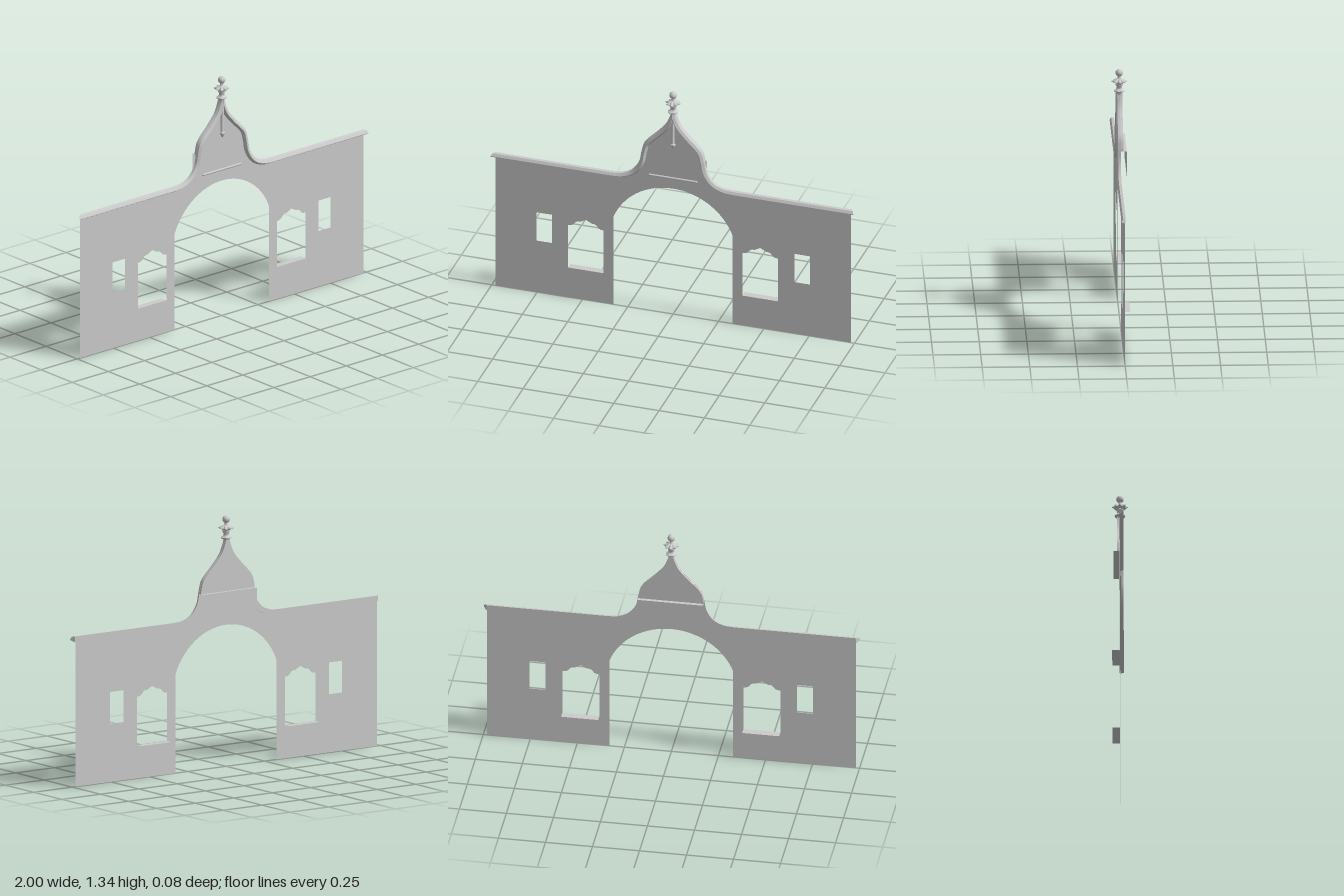
import * as THREE from 'three';
import { toCreasedNormals } from 'three/addons/utils/BufferGeometryUtils.js';

const V2 = (x, y) => new THREE.Vector2(x, y);
const solid = new THREE.MeshStandardMaterial({ color: 0xcccccc });
const thin = new THREE.MeshStandardMaterial({ color: 0xcccccc, side: THREE.DoubleSide });

function add(parent, name, geometry, material = solid, x = 0, y = 0, z = 0) {
  const mesh = new THREE.Mesh(geometry, material);
  mesh.name = name;
  mesh.position.set(x, y, z);
  parent.add(mesh);
  return mesh;
}

// Right half of the roofline: straight parapet, then the ogee up to the apex
function roofline() {
  const ogee = new THREE.SplineCurve([
    V2(0.34, 0.802), V2(0.283, 0.807), V2(0.228, 0.832), V2(0.189, 0.886), V2(0.174, 0.955),
    V2(0.154, 1.014), V2(0.088, 1.083), V2(0.042, 1.137), V2(0.018, 1.19), V2(0.01, 1.225),
  ]);
  return [V2(0.985, 0.802), ...ogee.getPoints(48)];
}

// Moves the roofline along its outward normal, never past the centre line
function offset(path, d) {
  return path.map((p, i) => {
    const t = path[Math.min(i + 1, path.length - 1)].clone().sub(path[Math.max(i - 1, 0)]).normalize();
    if (i < 2) t.set(-1, 0);
    return V2(Math.max(0, p.x + t.y * d), p.y - t.x * d);
  });
}

const mirrored = (pts) => pts.map((p) => V2(-p.x, p.y)).reverse();

// Moulding swept along one half of the roofline; section is [offset, z]
function mouldingGeometry(path, side) {
  const section = [[0, -0.003], [-0.003, 0.011], [-0.017, 0.019], [-0.021, 0.019], [-0.03, 0.002], [-0.03, -0.003]];
  const rails = section.map(([d]) => offset(path, d));
  const n = section.length;
  const pos = [], idx = [];
  path.forEach((_, i) => section.forEach(([, z], j) => {
    const p = rails[j][i];
    pos.push(side * (p.x + (i === 0 ? z * 0.8 : 0)), p.y, z);
  }));
  const tri = (a, b, c) => (side > 0 ? idx.push(a, b, c) : idx.push(a, c, b));
  for (let i = 0; i < path.length - 1; i++) {
    for (let j = 0; j < n; j++) {
      const a = i * n + j, b = i * n + ((j + 1) % n);
      tri(a, a + n, b);
      tri(b, a + n, b + n);
    }
  }
  for (let j = 1; j < n - 1; j++) tri(0, j, j + 1); // end cap
  const g = new THREE.BufferGeometry();
  g.setAttribute('position', new THREE.Float32BufferAttribute(pos, 3));
  g.setIndex(idx);
  return toCreasedNormals(g, 0.5);
}

function wallGeometry(path) {
  const edge = offset(path, -0.014);
  edge[0].x = 0.98;
  const arch = [];
  for (let i = 0; i <= 32; i++) {
    const a = THREE.MathUtils.lerp(-1.203, 1.203, i / 32);
    arch.push(V2(0.3516 * Math.sin(a), 0.4034 + 0.3516 * Math.cos(a)));
  }
  const shape = new THREE.Shape([
    V2(-0.98, 0), V2(-0.328, 0), ...arch, V2(0.328, 0), V2(0.98, 0),
    ...edge, ...mirrored(edge).slice(1),
  ]);
  for (const s of [-1, 1]) {
    // scalloped window
    const half = [V2(0.098, 0.178), V2(0.098, 0.435), V2(0.082, 0.437), V2(0.07, 0.443), V2(0.058, 0.458),
      V2(0.047, 0.464), V2(0.032, 0.465), V2(0.015, 0.474), V2(0, 0.482)];
    const outline = [...half, ...mirrored(half).slice(1)];
    shape.holes.push(new THREE.Path(outline.map((p) => V2(p.x + s * 0.481, p.y))));
    // small plain window
    const x = s * 0.711;
    shape.holes.push(new THREE.Path([V2(x - 0.043, 0.31), V2(x + 0.043, 0.31), V2(x + 0.043, 0.48), V2(x - 0.043, 0.48)]));
  }
  return new THREE.ShapeGeometry(shape);
}

const lathe = (pts, seg = 24) =>
  toCreasedNormals(new THREE.LatheGeometry(pts.map(([r, y]) => V2(r, y)), seg), 0.7);

// Turned finial with an eight-petalled crown and a ball
function finial() {
  const group = new THREE.Group();
  group.name = 'finial';
  add(group, 'finialStem', lathe([
    [0, 1.195], [0.013, 1.2], [0.016, 1.212], [0.027, 1.217], [0.028, 1.222], [0.018, 1.228],
    [0.014, 1.234], [0.015, 1.245], [0.019, 1.252], [0.019, 1.258], [0.013, 1.264], [0.012, 1.28],
    [0.009, 1.29], [0.008, 1.302], [0, 1.304],
  ]));
  const crown = new THREE.LatheGeometry([
    [0.01, 1.255], [0.022, 1.26], [0.03, 1.267], [0.041, 1.268], [0.041, 1.273], [0.028, 1.279], [0.015, 1.285], [0.008, 1.289],
  ].map(([r, y]) => V2(r, y)), 48);
  const p = crown.attributes.position;
  for (let i = 0; i < p.count; i++) {
    const x = p.getX(i), z = p.getZ(i), r = Math.hypot(x, z);
    const lobe = Math.cos(8 * Math.atan2(z, x));
    const k = 1 - 0.16 * (1 - lobe) * Math.min(1, r / 0.04);
    p.setXYZ(i, x * k, p.getY(i) + 0.002 * lobe * (r / 0.04), z * k);
  }
  add(group, 'petalCrown', toCreasedNormals(crown, 0.7), thin);
  add(group, 'finialBall', new THREE.SphereGeometry(0.02, 24, 16), solid, 0, 1.318, 0);
  return group;
}

export function createModel() {
  const model = new THREE.Group();
  model.name = 'archedGateway';
  const path = roofline();

  add(model, 'wall', wallGeometry(path), thin);
  add(model, 'leftMoulding', mouldingGeometry(path, 1));
  add(model, 'rightMoulding', mouldingGeometry(path, -1));

  // Thickened back of the upper gable
  const upper = offset(path, -0.001).filter((q) => q.y > 0.94);
  upper.unshift(V2(0.174, 0.938));
  const gable = new THREE.ExtrudeGeometry(new THREE.Shape([...upper, ...mirrored(upper)]),
    { depth: 0.015, bevelEnabled: false });
  add(model, 'gableBack', toCreasedNormals(gable, 0.5), solid, 0, 0, -0.016);

  // Open-sided ledge behind the gable
  add(model, 'backPanel', new THREE.PlaneGeometry(0.348, 0.135), thin, 0, 0.8705, -0.034);
  add(model, 'backPanelTop', new THREE.PlaneGeometry(0.348, 0.034).rotateX(-Math.PI / 2), thin, 0, 0.938, -0.017);

  // Window sills projecting to the rear
  for (const s of [-1, 1]) {
    add(model, s > 0 ? 'leftSill' : 'rightSill',
      new THREE.PlaneGeometry(0.197, 0.04).rotateX(-Math.PI / 2), thin, s * 0.481, 0.178, -0.02);
  }

  // Rounded bar above the arch
  add(model, 'archBar', new THREE.CapsuleGeometry(0.006, 0.258, 6, 12).rotateZ(Math.PI / 2), solid, 0, 0.818, 0.002);

  // Pendant hanging from the apex
  add(model, 'pendant', lathe([
    [0, 0.995], [0.005, 1.004], [0.013, 1.018], [0.014, 1.024], [0.009, 1.03], [0.009, 1.185], [0, 1.19],
  ], 16), solid, 0, 0, 0.005);

  model.add(finial());
  return model;
}
